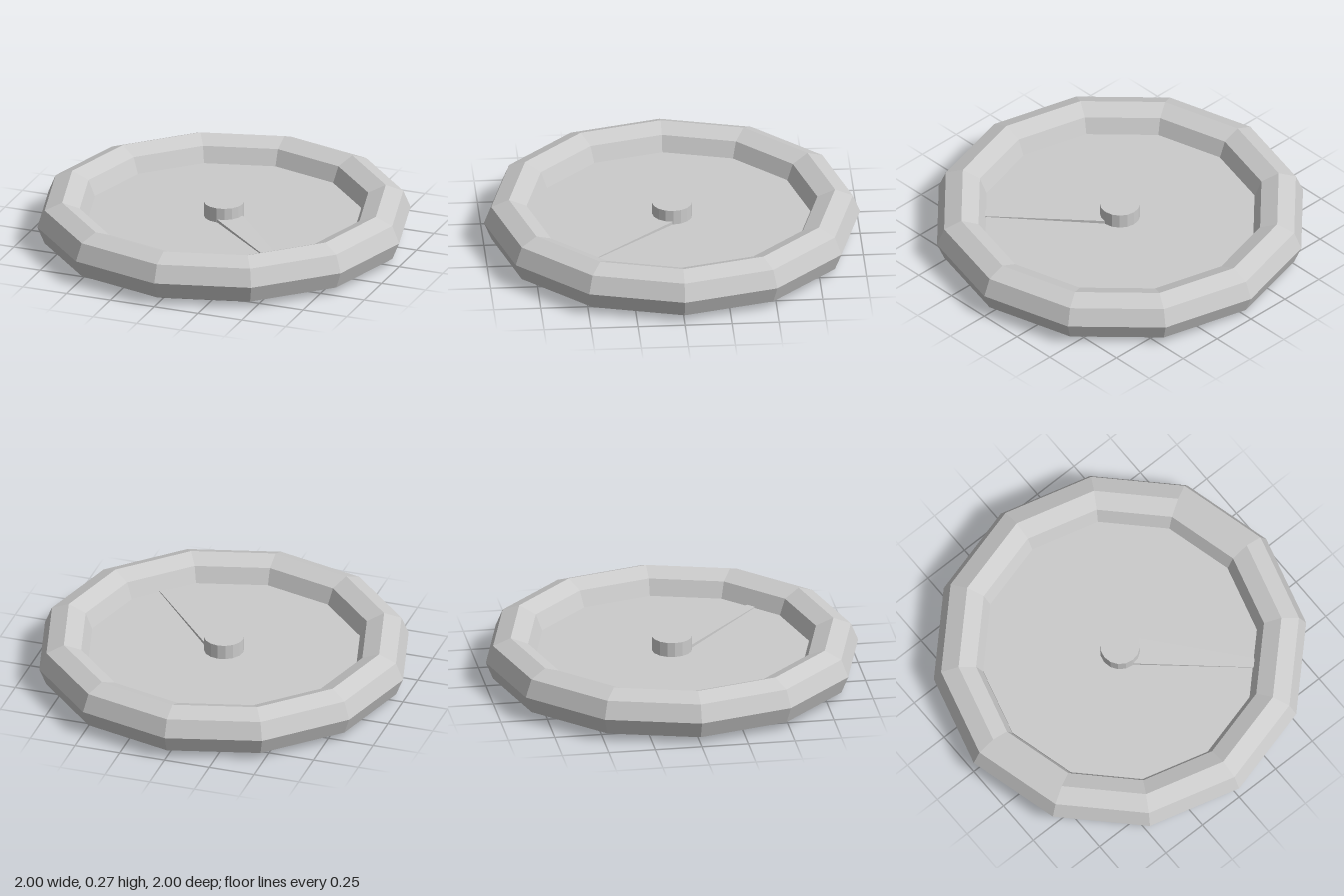
import * as THREE from 'three';

const MID = 0.133;

export function createModel() {
  const group = new THREE.Group();
  const material = new THREE.MeshStandardMaterial({ color: 0xcccccc, flatShading: true });
  const add = (name, geometry) => {
    const mesh = new THREE.Mesh(geometry, material);
    mesh.name = name;
    mesh.position.y = MID;
    group.add(mesh);
    return mesh;
  };

  // Faceted outer rim, lying flat
  add('rim', new THREE.TorusGeometry(0.867, 0.133, 8, 12).rotateX(-Math.PI / 2));

  // Thin plate filling the rim
  add('plate', new THREE.CylinderGeometry(0.735, 0.735, 0.02, 12));

  // Centre hub, standing out on both sides
  add('hub', new THREE.CylinderGeometry(0.107, 0.107, 0.18, 16));

  // Pointer: a bar that narrows and thins from the hub to the rim
  const start = 0.06, end = 0.715;
  const bar = new THREE.BoxGeometry(1, 1, 1);
  const p = bar.attributes.position;
  for (let i = 0; i < p.count; i++) {
    const t = p.getX(i) + 0.5;
    const top = THREE.MathUtils.lerp(0.027, 0.015, t);
    p.setXYZ(i,
      THREE.MathUtils.lerp(start, end, t),
      p.getY(i) > 0 ? top : 0,
      p.getZ(i) * THREE.MathUtils.lerp(0.148, 0.05, t));
  }
  bar.computeVertexNormals();
  add('pointer', bar).rotation.y = -Math.PI / 4;

  return group;
}
